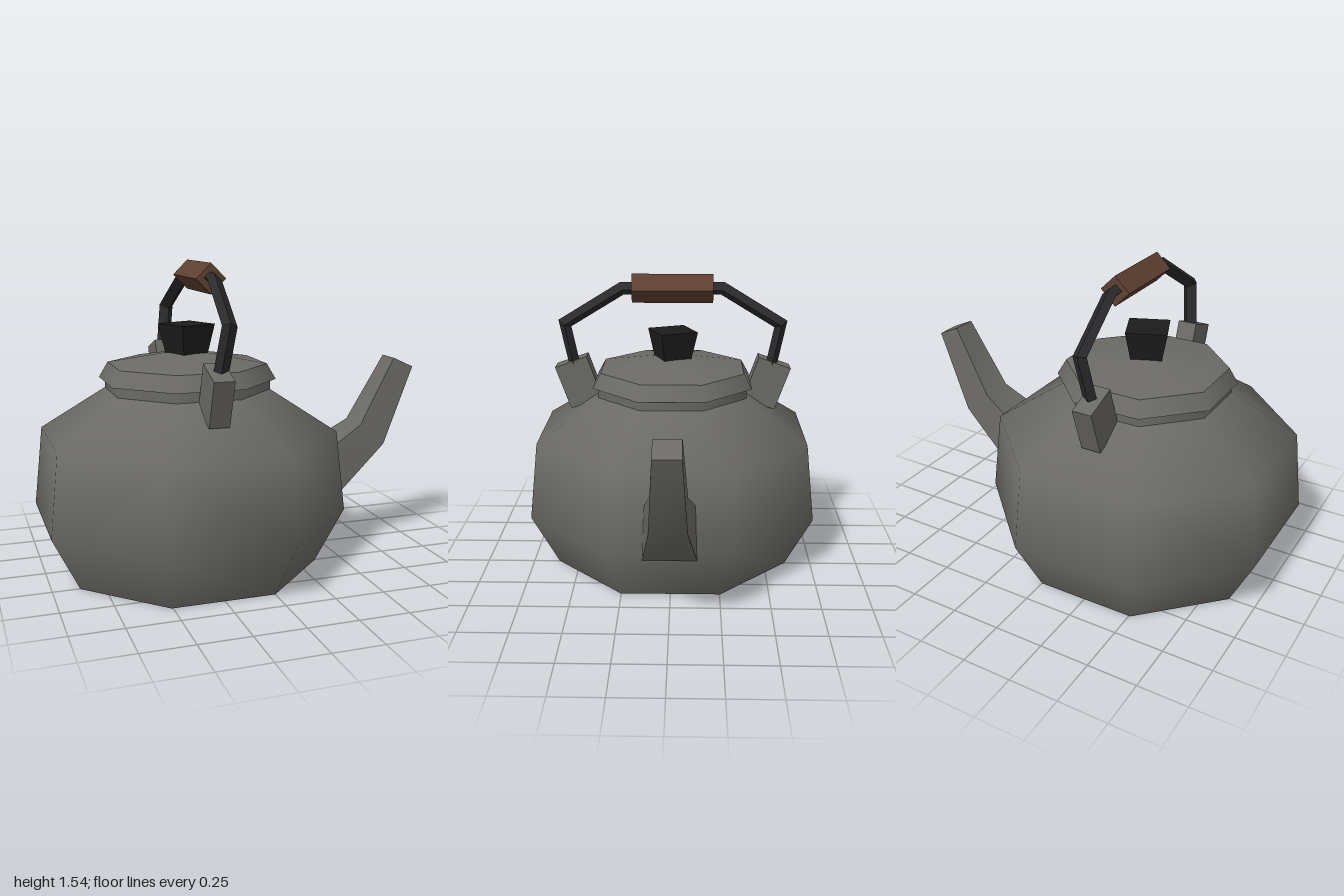
import * as THREE from 'three';
import { toCreasedNormals } from 'three/addons/utils/BufferGeometryUtils.js';

const CX = -0.254; // axis of the pot
const steel = new THREE.MeshStandardMaterial({ color: 0x6b6a66 });
const shell = new THREE.MeshStandardMaterial({ color: 0x6b6a66, side: THREE.DoubleSide });
const black = new THREE.MeshStandardMaterial({ color: 0x1c1c1c });
const iron = new THREE.MeshStandardMaterial({ color: 0x2a2a2d });
const wood = new THREE.MeshStandardMaterial({ color: 0x5e4030 });

function add(parent, name, geometry, material, x = 0, y = 0, z = 0) {
  const mesh = new THREE.Mesh(geometry, material);
  mesh.name = name;
  mesh.position.set(x, y, z);
  parent.add(mesh);
  return mesh;
}

// Smooth eight-sided turned shell; profile gives the distance to the flats
function octagon(profile) {
  const k = 1 / Math.cos(Math.PI / 8);
  const points = profile.map(([r, y]) => new THREE.Vector2(r * k, y));
  return new THREE.LatheGeometry(points, 8, Math.PI / 8);
}

// Skin through four-cornered rings, closed at both ends, soft along its length
function loft(rings) {
  const pos = [];
  const quad = (a, b, c, d) => pos.push(...a, ...b, ...c, ...a, ...c, ...d);
  for (let i = 0; i < rings.length - 1; i++) {
    for (let j = 0; j < 4; j++) {
      const n = (j + 1) % 4;
      quad(rings[i][j], rings[i][n], rings[i + 1][n], rings[i + 1][j]);
    }
  }
  quad(...[...rings[0]].reverse());
  quad(...rings[rings.length - 1]);
  const geometry = new THREE.BufferGeometry();
  geometry.setAttribute('position', new THREE.Float32BufferAttribute(pos, 3));
  return toCreasedNormals(geometry, 0.6);
}

// Bar of skewed diamond section along a bent path of [z, y] points, with mitred corners
function bentBar(path, width, t, skew) {
  const pts = path.map(([z, y]) => new THREE.Vector2(z, y));
  const last = pts.length - 1;
  const normal = (a, b) => {
    const d = b.clone().sub(a).normalize();
    return new THREE.Vector2(d.y, -d.x);
  };
  return loft(pts.map((p, i) => {
    const n1 = normal(pts[Math.max(i - 1, 0)], pts[Math.max(i, 1)]);
    const n2 = normal(pts[Math.min(i, last - 1)], pts[Math.min(i + 1, last)]);
    const m = n1.clone().add(n2).normalize();
    m.multiplyScalar(t / m.dot(n1));
    return [
      [-skew, p.y + m.y, p.x + m.x], [width, p.y, p.x],
      [skew, p.y - m.y, p.x - m.x], [-width, p.y, p.x],
    ];
  }));
}

export function createModel() {
  const kettle = new THREE.Group();
  kettle.name = 'kettle';

  // Pot, open underneath, with short neck
  add(kettle, 'body', octagon([
    [0.612, 0], [0.747, 0.28], [0.703, 0.69], [0.389, 0.905],
  ]), shell, CX);
  add(kettle, 'neck', octagon([[0.389, 0.905], [0.389, 0.957]]), shell, CX);

  // Lid with overhanging rim
  add(kettle, 'lidUnderside', octagon([[0.389, 0.957], [0.416, 0.957]]), shell, CX);
  add(kettle, 'lidRim', octagon([[0.416, 0.957], [0.374, 1.035]]), shell, CX);
  add(kettle, 'lidTop', octagon([[0.374, 1.035], [0.09, 1.088], [0, 1.092]]), shell, CX);

  // Flared square knob, turned on the lid
  const knob = new THREE.CylinderGeometry(0.144, 0.106, 0.155, 4, 1, false, -Math.PI / 8).toNonIndexed();
  knob.computeVertexNormals();
  add(kettle, 'lidKnob', knob, black, CX, 1.155, 0);

  // Spout: upper x, y, lower x, y, half width
  add(kettle, 'spout', loft([
    [0.4, 0.495, 0.484, 0.25, 0.134],
    [0.685, 0.665, 0.825, 0.55, 0.088],
    [0.885, 1.015, 0.998, 0.963, 0.064],
  ].map(([ux, uy, lx, ly, w]) => [[ux, uy, w], [lx, ly, w], [lx, ly, -w], [ux, uy, -w]])), steel);

  // Lugs on the shoulder, leaning outwards
  for (const side of [1, -1]) {
    const lug = add(kettle, side > 0 ? 'frontLug' : 'backLug',
      new THREE.BoxGeometry(0.1, 0.24, 0.18), steel, CX, 0.955, side * 0.502);
    lug.rotation.x = side * 0.34;
  }

  // Carrying handle, tilted a little towards the spout
  const handle = new THREE.Group();
  handle.name = 'handle';
  handle.position.set(CX, 0.955, 0);
  handle.rotation.z = -0.131;
  const half = [[0.512, 0.02], [0.566, 0.325], [0.26, 0.516]];
  const path = [...half, ...half.map(([z, y]) => [-z, y]).reverse()];
  add(handle, 'handleBar', bentBar(path, 0.037, 0.031, 0.008), iron);
  const grip = add(handle, 'grip', new THREE.BoxGeometry(0.106, 0.106, 0.42), wood, 0, 0.515, 0);
  grip.rotation.z = Math.PI / 4 + 0.131;
  kettle.add(handle);

  return kettle;
}
